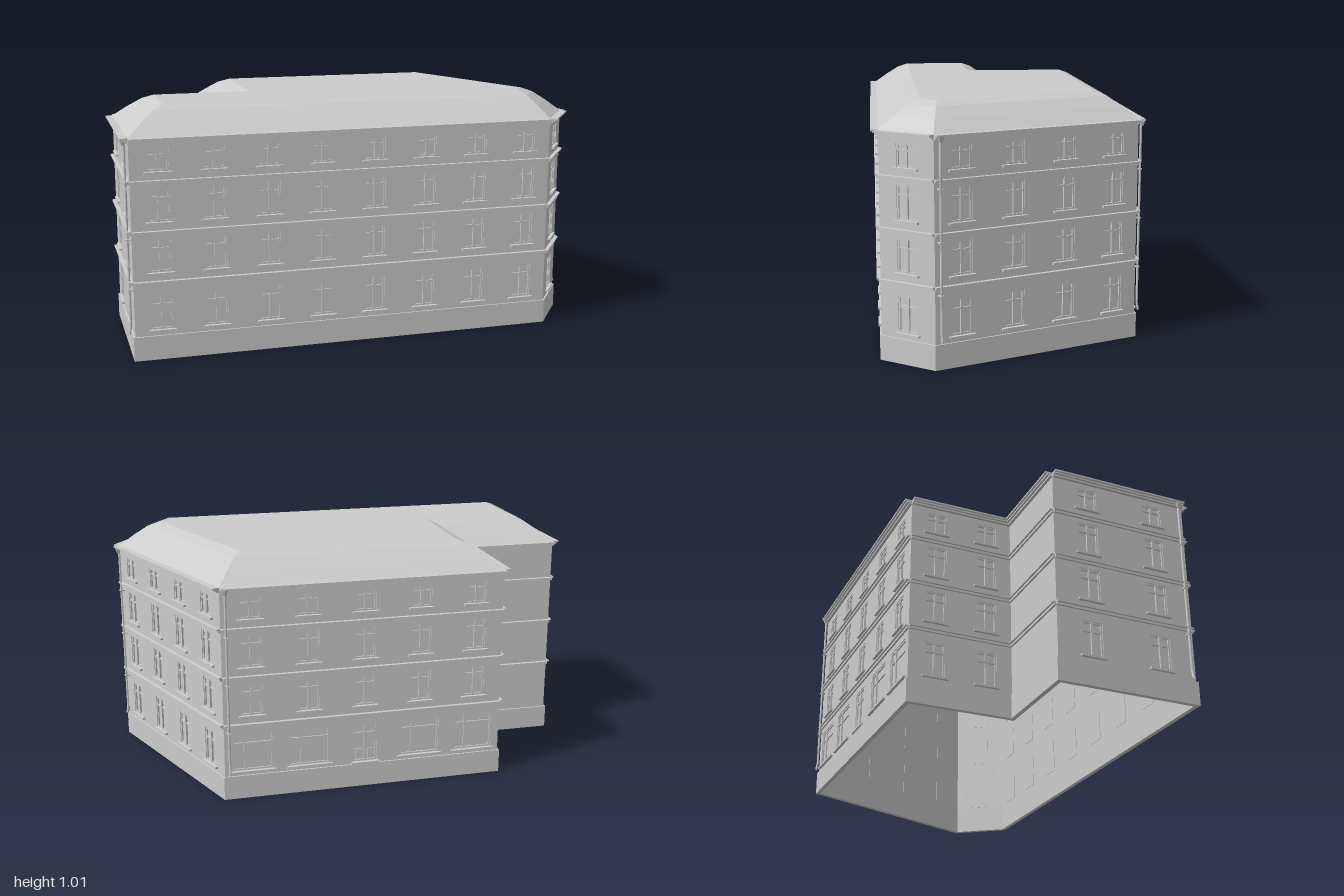
import * as THREE from 'three';
import { mergeGeometries } from 'three/addons/utils/BufferGeometryUtils.js';

const material = new THREE.MeshStandardMaterial({ color: 0xcccccc, flatShading: true, side: THREE.DoubleSide });

// Ground plan corners (x, z), running so that outside is on the right of each edge
const plan = [[-0.943, 0.553], [0.833, 0.474], [0.97, 0.266], [0.605, -0.556], [-0.583, -0.503], [-0.563, -0.06], [-0.97, -0.045]]
  .map(([x, z]) => new THREE.Vector2(x, z));

// Storeys: window sill and head heights
const storeys = [[0.125, 0.27], [0.362, 0.497], [0.568, 0.703], [0.77, 0.86]];
const bandHeights = [0.32, 0.525, 0.728];
const WALL_BOTTOM = 0.1, EAVES = 0.905, THICK = 0.012;

// One entry per wall: number of window columns, optional shopfront and downpipe position
const walls = [
  { name: 'frontWall', columns: 8 },
  { name: 'cornerWall', columns: 1 },
  { name: 'rightWall', columns: 4, pipe: 0.02 },
  { name: 'backWall', columns: 5, shop: true, pipe: 0.02 },
  { name: 'wingInnerWall', columns: 2 },
  { name: 'wingBackWall', columns: 0 },
  { name: 'leftWall', columns: 2, pipe: 0.575 },
];

function add(parent, name, geometry) {
  const mesh = new THREE.Mesh(geometry, material);
  mesh.name = name;
  parent.add(mesh);
  return mesh;
}

// Box given by its limits
function block(x0, x1, y0, y1, z0, z1) {
  return new THREE.BoxGeometry(x1 - x0, y1 - y0, z1 - z0).translate((x0 + x1) / 2, (y0 + y1) / 2, (z0 + z1) / 2);
}

// Mitred offset of the plan; positive is outward
function offsetPlan(d) {
  const n = plan.length;
  const normal = i => {
    const e = plan[(i + 1) % n].clone().sub(plan[i % n]).normalize();
    return new THREE.Vector2(-e.y, e.x);
  };
  return plan.map((p, i) => {
    const a = normal(i + n - 1), b = normal(i);
    return p.clone().addScaledVector(a.clone().add(b), d / (1 + a.dot(b)));
  });
}

const flip = points => points.map(p => new THREE.Vector2(p.x, -p.y));

function rectHole(x0, x1, y0, y1) {
  return new THREE.Path([[x0, y0], [x0, y1], [x1, y1], [x1, y0]].map(p => new THREE.Vector2(...p)));
}

// Frame with a mullion, a transom, and a pane set back in the wall
function fillOpening({ x0, x1, y0, y1, kind }, frames, panes, sills) {
  const t = 0.007, mid = (x0 + x1) / 2, bar = y1 - (y1 - y0) * 0.28;
  const back = -THICK, front = -0.003;
  panes.push(block(x0, x1, y0, y1, -THICK - 0.002, -THICK + 0.003));
  frames.push(
    block(x0, x0 + t, y0, y1, back, front), block(x1 - t, x1, y0, y1, back, front),
    block(x0, x1, y1 - t, y1, back, front), block(x0, x1, y0, y0 + t, back, front),
    block(x0, x1, bar - t / 2, bar + t / 2, back, front),
  );
  if (kind === 'shop') {
    const third = x0 + (x1 - x0) * 0.3;
    frames.push(block(third - t / 2, third + t / 2, y0, y1, back, front));
  } else {
    frames.push(block(mid - t * 0.7, mid + t * 0.7, y0, y1, back, front + 0.002));
  }
  if (kind === 'door') {
    // Lower door panels and step
    for (const c of [(x0 + mid) / 2, (x1 + mid) / 2]) frames.push(block(c - 0.014, c + 0.014, y0 + 0.015, y0 + 0.055, back, front - 0.002));
    sills.push(block(x0 - 0.008, x1 + 0.008, y0 - 0.008, y0, -THICK, 0.014));
  } else {
    sills.push(block(x0 - 0.011, x1 + 0.011, y0 - 0.009, y0, -THICK, 0.012));
  }
}

// Downpipe with a hopper head, brackets and a kicked-out foot
function buildPipe(x) {
  const pipe = new THREE.Group();
  pipe.name = 'downpipe';
  const path = new THREE.CurvePath();
  const points = [[0.885, 0.014], [0.125, 0.014], [0.108, 0.02]].map(([y, z]) => new THREE.Vector3(x, y, z));
  for (let i = 0; i < 2; i++) path.add(new THREE.LineCurve3(points[i], points[i + 1]));
  add(pipe, 'pipe', new THREE.TubeGeometry(path, 24, 0.005, 8));
  add(pipe, 'hopper', new THREE.CylinderGeometry(0.016, 0.006, 0.025, 8).translate(x, 0.888, 0.018));
  bandHeights.forEach(y => add(pipe, 'bracket', block(x - 0.008, x + 0.008, y - 0.03, y - 0.025, 0, 0.021)));
  return pipe;
}

function buildWall(spec, p, q) {
  const wall = new THREE.Group();
  wall.name = spec.name;
  wall.position.set(p.x, 0, p.y);
  wall.rotation.y = Math.atan2(p.y - q.y, q.x - p.x);
  const length = p.distanceTo(q);

  // Openings on an even grid
  const openings = [];
  for (let c = 0; c < spec.columns; c++) {
    const x = length * (c + 0.5) / spec.columns;
    storeys.forEach(([y0, y1], s) => {
      let half = 0.044, kind = 'window';
      if (spec.shop && s === 0) {
        kind = c === 2 ? 'door' : 'shop';
        half = c === 2 ? 0.052 : 0.085;
        y0 = c === 2 ? 0.11 : 0.12;
        y1 = 0.285;
      }
      openings.push({ x0: x - half, x1: x + half, y0, y1, kind });
    });
  }

  const shape = new THREE.Shape([[0, WALL_BOTTOM], [length, WALL_BOTTOM], [length, EAVES], [0, EAVES]].map(v => new THREE.Vector2(...v)));
  shape.holes = openings.map(o => rectHole(o.x0, o.x1, o.y0, o.y1));
  add(wall, 'masonry', new THREE.ExtrudeGeometry(shape, { depth: THICK, bevelEnabled: false }).translate(0, 0, -THICK));

  if (openings.length) {
    const frames = [], panes = [], sills = [];
    openings.forEach(o => fillOpening(o, frames, panes, sills));
    add(wall, 'windowFrames', mergeGeometries(frames));
    add(wall, 'windowPanes', mergeGeometries(panes));
    add(wall, 'windowSills', mergeGeometries(sills));
  }

  // Stepped string courses and eaves cornice
  bandHeights.forEach(y => add(wall, 'stringCourse', mergeGeometries([
    block(0, length, y - 0.008, y + 0.002, 0, 0.008),
    block(0, length, y + 0.002, y + 0.008, 0, 0.016),
  ])));
  add(wall, 'eavesCornice', mergeGeometries([
    block(0, length, 0.885, 0.892, 0, 0.012),
    block(0, length, 0.892, 0.898, 0, 0.021),
    block(0, length, 0.898, EAVES, -THICK, 0.03),
  ]));

  if (spec.pipe) wall.add(buildPipe(spec.pipe));
  return wall;
}

// Hipped roof: inset rings that flatten towards the top, closed by a flat deck
function buildRoof() {
  const roof = new THREE.Group();
  roof.name = 'roof';
  const rings = [[0, EAVES], [0.06, 0.953], [0.115, 0.992], [0.16, 1.01]]
    .map(([inset, y]) => offsetPlan(-inset).map(p => [p.x, y, p.y]));
  const positions = [];
  for (let r = 0; r < rings.length - 1; r++) {
    for (let i = 0; i < plan.length; i++) {
      const j = (i + 1) % plan.length;
      const [a, b, c, d] = [rings[r][i], rings[r][j], rings[r + 1][j], rings[r + 1][i]];
      positions.push(...a, ...b, ...c, ...a, ...c, ...d);
    }
  }
  const slopes = new THREE.BufferGeometry();
  slopes.setAttribute('position', new THREE.Float32BufferAttribute(positions, 3));
  slopes.computeVertexNormals();
  add(roof, 'roofSlopes', slopes);
  add(roof, 'roofDeck', new THREE.ShapeGeometry(new THREE.Shape(flip(offsetPlan(-0.16)))).rotateX(-Math.PI / 2).translate(0, 1.01, 0));
  return roof;
}

export function createModel() {
  const model = new THREE.Group();
  model.name = 'cornerBuilding';

  // Plinth ring, open underneath
  const plinth = new THREE.Shape(flip(offsetPlan(0.007)));
  plinth.holes.push(new THREE.Path(flip(offsetPlan(-THICK))));
  add(model, 'plinth', new THREE.ExtrudeGeometry(plinth, { depth: WALL_BOTTOM, bevelEnabled: false }).rotateX(-Math.PI / 2));

  walls.forEach((spec, i) => model.add(buildWall(spec, plan[i], plan[(i + 1) % plan.length])));
  model.add(buildRoof());
  return model;
}
